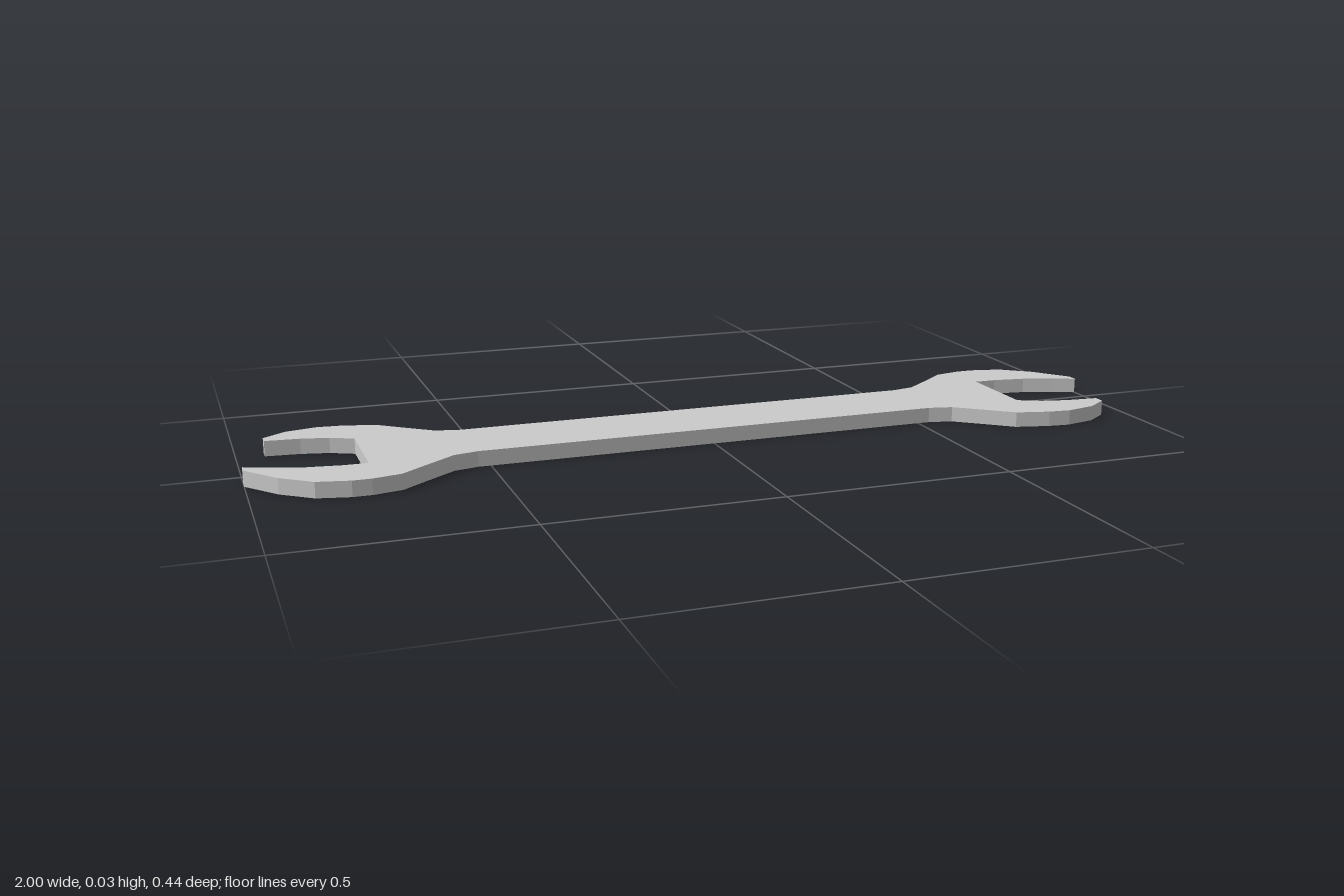
import * as THREE from 'three';

const THICKNESS = 0.034;

// Outline of one end as [x, z], from the handle's back edge round the jaw to its front edge
const END = [
  // back flare and back jaw
  [0.527, -0.09], [0.58, -0.102], [0.645, -0.152], [0.703, -0.198], [0.765, -0.211],
  [0.805, -0.211], [0.875, -0.195], [0.94, -0.144], [1, -0.068], [1, -0.043],
  // open mouth
  [0.95, -0.062], [0.88, -0.087], [0.805, -0.098], [0.755, -0.099],
  [0.755, 0.096], [0.805, 0.121], [0.865, 0.135], [0.94, 0.142],
  // front jaw and front flare
  [0.94, 0.167], [0.89, 0.203], [0.82, 0.219], [0.77, 0.214], [0.695, 0.195],
  [0.64, 0.15], [0.58, 0.102], [0.527, 0.09],
];

export function createModel() {
  const group = new THREE.Group();
  group.name = 'openEndSpanner';

  // The other end is the same outline turned half a circle
  const outline = [1, -1].flatMap((s) => END.map(([x, z]) => new THREE.Vector2(s * x, -s * z)));
  const geometry = new THREE.ExtrudeGeometry(new THREE.Shape(outline), {
    depth: THICKNESS,
    bevelEnabled: false,
  });
  geometry.rotateX(-Math.PI / 2); // lay flat on the ground

  const body = new THREE.Mesh(
    geometry,
    new THREE.MeshStandardMaterial({ color: 0xcccccc, flatShading: true }),
  );
  body.name = 'spannerBody';
  group.add(body);
  return group;
}
